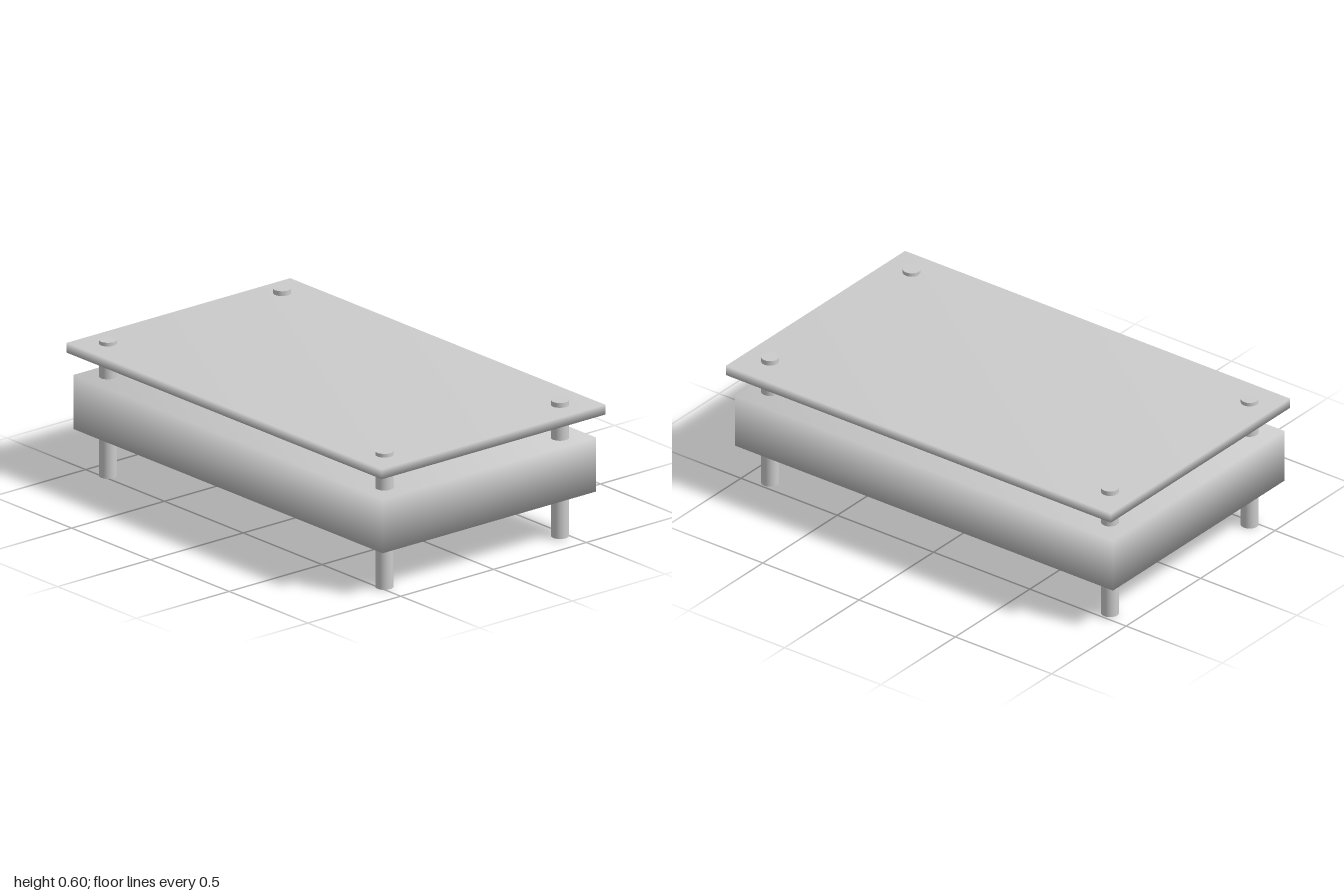
import * as THREE from 'three';
import { mergeVertices } from 'three/addons/utils/BufferGeometryUtils.js';

const material = new THREE.MeshStandardMaterial({ color: 0xcccccc });

function addMesh(group, name, geometry, x, y, z) {
  const mesh = new THREE.Mesh(geometry, material);
  mesh.name = name;
  mesh.position.set(x, y, z);
  group.add(mesh);
}

// Box whose corners share normals, so shading rolls softly over its edges
function softBox(w, h, d) {
  const box = new THREE.BoxGeometry(w, h, d);
  box.deleteAttribute('normal');
  box.deleteAttribute('uv');
  const geometry = mergeVertices(box);
  geometry.computeVertexNormals();
  return geometry;
}

export function createModel() {
  const table = new THREE.Group();
  table.name = 'table';

  // Thin top plate and the thick body hanging below it
  addMesh(table, 'topPlate', softBox(1.204, 0.043, 2), 0, 0.5565, 0);
  addMesh(table, 'body', softBox(1.15, 0.236, 1.964), 0, 0.316, -0.008);

  // Posts run through both slabs, with slight differences in placement
  const posts = [
    ['frontRightPost', -0.478, 0, 0.87],
    ['backRightPost', -0.478, 0, -0.885],
    ['frontLeftPost', 0.46, 0.005, 0.88],
    ['backLeftPost', 0.46, 0.005, -0.885],
  ];
  const post = new THREE.CylinderGeometry(0.037, 0.037, 0.594, 32);
  for (const [name, x, bottom, z] of posts) {
    addMesh(table, name, post, x, bottom + 0.297, z);
  }
  return table;
}
